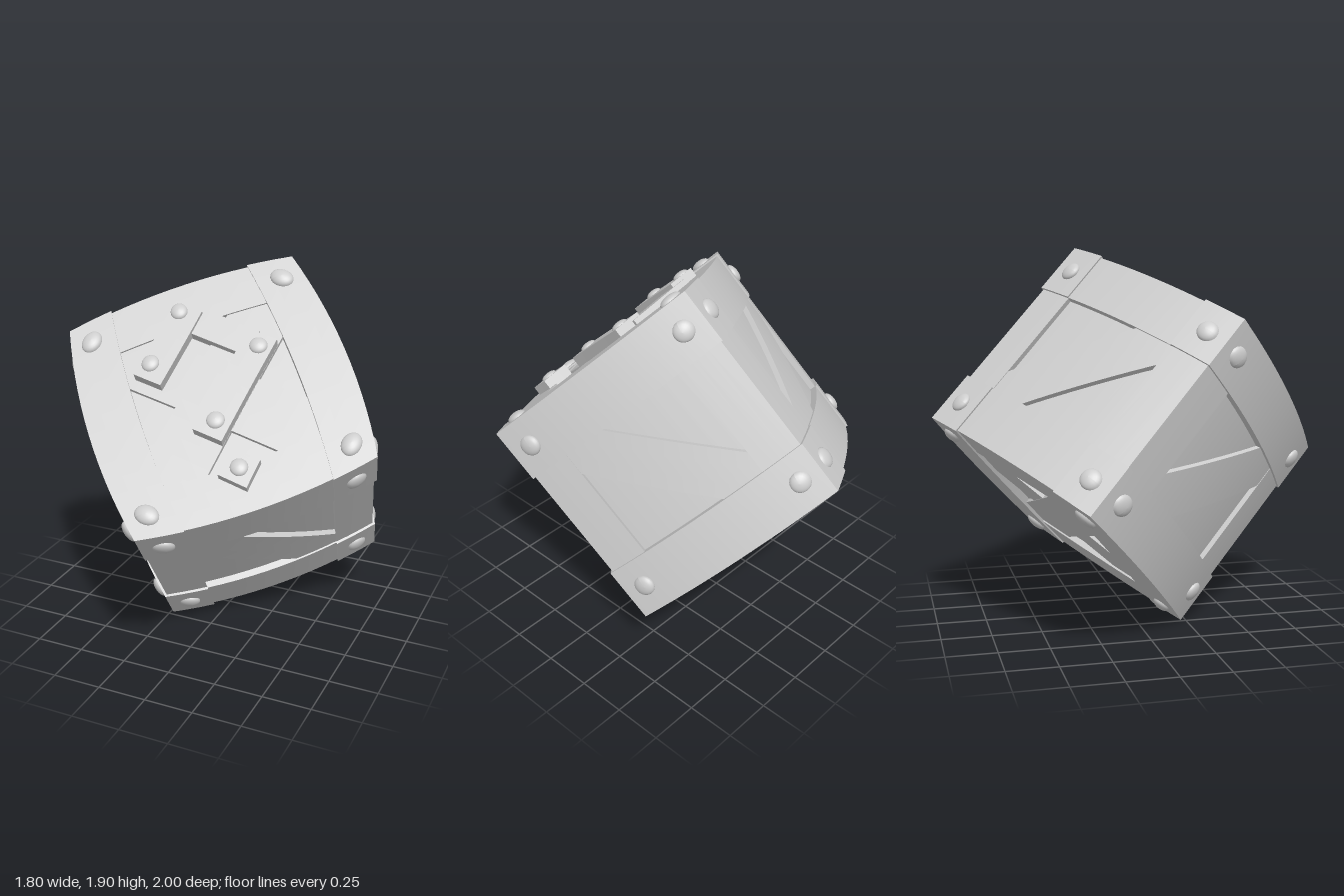
import * as THREE from 'three';

const H = 0.58;       // half size of the crate
const BULGE = 0.1;    // how far the four long sides swell
const V3 = (x, y, z) => new THREE.Vector3(x, y, z);

// Swell the x and y sides into a barrel outline, straight along z
function swell(geo) {
  const p = geo.attributes.position;
  for (let i = 0; i < p.count; i++) {
    const x = p.getX(i), y = p.getY(i);
    p.setX(i, x * (1 + BULGE * (1 - (y / H) ** 2)));
    p.setY(i, y * (1 + BULGE * (1 - (x / H) ** 2)));
  }
  geo.computeVertexNormals();
  return geo;
}

export function createModel() {
  const model = new THREE.Group();
  model.name = 'crate';
  const crate = new THREE.Group();
  crate.name = 'tiltedCrate';
  model.add(crate);
  const material = new THREE.MeshStandardMaterial({ color: 0xcccccc });

  const add = (name, geo, matrix) => {
    if (matrix) geo.applyMatrix4(matrix);
    const mesh = new THREE.Mesh(swell(geo), material);
    mesh.name = name;
    crate.add(mesh);
  };
  // Box between two corners
  const bar = (name, a, b) => {
    const lo = a.clone().min(b), hi = a.clone().max(b), s = hi.clone().sub(lo), c = lo.add(hi).multiplyScalar(0.5);
    const n = (d) => Math.max(2, Math.ceil(d * 12));
    add(name, new THREE.BoxGeometry(s.x, s.y, s.z, n(s.x), n(s.y), 1).translate(c.x, c.y, c.z));
  };
  // Board lying on a face: centre, length, width, top level and turn
  const board = (name, face, x, y, length, width, top, angle, depth) => {
    const geo = new THREE.BoxGeometry(length, width, depth, 14, 3, 1);
    geo.rotateZ(angle).translate(x, y, top - depth / 2);
    add(name, geo, face);
  };
  // Domed nail head standing on a face
  const nail = (face, x, y, level, r) => {
    const geo = new THREE.SphereGeometry(1, 20, 6, 0, Math.PI * 2, 0, Math.PI / 2);
    geo.rotateX(Math.PI / 2).scale(r, r, r * 0.5).translate(x, y, level);
    add('nailHead', geo, face);
  };

  // Recessed panels
  bar('innerPanels', V3(-0.54, -0.54, -0.54), V3(0.54, 0.54, 0.54));

  // Edge frame: uprights, cross rails and long posts
  for (const a of [-1, 1]) {
    for (const b of [-1, 1]) {
      bar('upright', V3(a * 0.355, -H, b * 0.3), V3(a * H, H, b * H));
      bar('crossRail', V3(-0.36, a * 0.355, b * 0.3), V3(0.36, a * 0.572, b * 0.572));
      bar('longPost', V3(a * 0.355, b * 0.355, -0.31), V3(a * 0.567, b * 0.567, 0.31));
    }
  }

  // Six faces: turn, diagonal braces and nail positions
  const q = Math.PI / 2;
  const turn = (x, y) => new THREE.Matrix4().makeRotationFromEuler(new THREE.Euler(x, y, 0));
  const faces = [
    { m: turn(0, 0), braces: [1, -1], nx: 0.475, ny: 0.465 },
    { m: turn(0, Math.PI), braces: [1, -1], nx: 0.475, ny: 0.465 },
    { m: turn(0, q), braces: [1], nx: 0.44, ny: 0.47 },
    { m: turn(0, -q), braces: [-1], nx: 0.44, ny: 0.47 },
    { m: turn(-q, 0), braces: [1], nx: 0.47, ny: 0.44 },
    { m: turn(q, 0), braces: [-1], nx: 0.47, ny: 0.44 },
  ];
  for (const { m, braces, nx, ny } of faces) {
    const width = braces.length > 1 ? 0.27 : 0.24;
    braces.forEach((s, i) => board('diagonalBrace', m, 0, 0, 1.2, width, 0.564 - i * 0.002, s * q / 2, 0.06));
    for (const a of [-1, 1]) for (const b of [-1, 1]) nail(m, a * nx, b * ny, H, 0.052);
  }

  // Raised boards nailed on the front face
  const front = faces[0].m, top = 0.62;
  board('shortBoard', front, -0.13, 0.29, 0.4, 0.137, top, q / 2, 0.06);
  board('longBoard', front, 0.083, -0.01, 0.535, 0.137, top, q / 2, 0.06);
  board('linkBoard', front, 0.1, 0.28, 0.34, 0.137, 0.6, -q / 2, 0.05);
  board('squareBlock', front, -0.026, -0.385, 0.14, 0.137, top, q / 2, 0.06);
  for (const [x, y] of [[-0.04, 0.42], [-0.235, 0.22], [0.235, 0.13], [-0.05, -0.145], [-0.026, -0.385]]) {
    nail(front, x, y, top, 0.04);
  }

  // Tilt the crate onto one corner
  const u = V3(0.8, 0.287, -0.53).normalize();
  const v = V3(-0.576, 0.627, -0.525);
  v.addScaledVector(u, -v.dot(u)).normalize();
  crate.quaternion.setFromRotationMatrix(new THREE.Matrix4().makeBasis(u, v, u.clone().cross(v)));
  crate.position.y = 0.952;
  return model;
}
